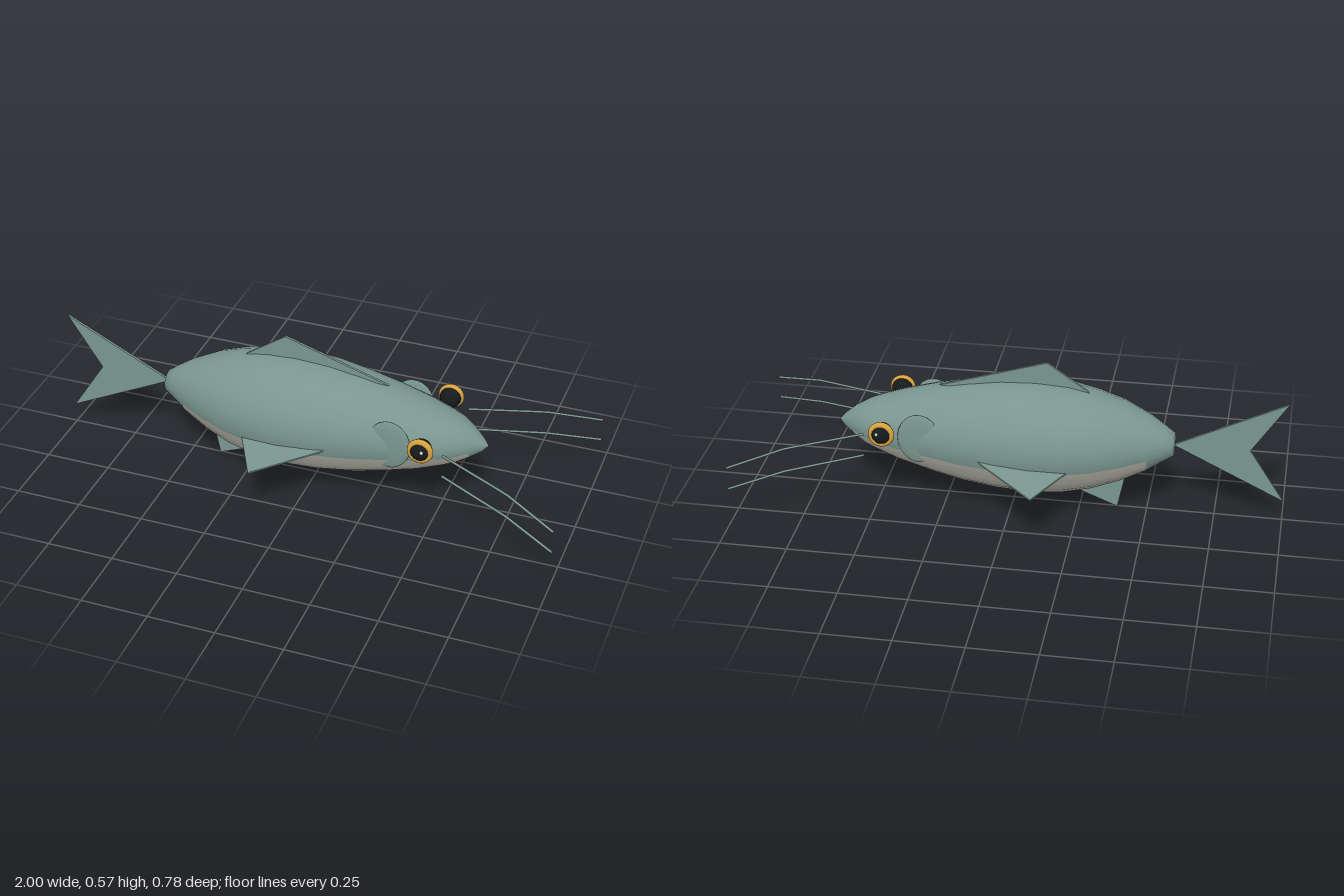
import * as THREE from 'three';

const mat = (color) => new THREE.MeshStandardMaterial({ color, side: THREE.DoubleSide });
const SKIN = mat(0x7a968f), BELLY = mat(0xb4b4a8), GOLD = mat(0xd9a441), BLACK = mat(0x161a1a), WHITE = mat(0xffffff);

// Body stations from tail to nose: x, centre height, half height, half width
const STATIONS = [
  [-0.595, 0.28, 0.042, 0.043], [-0.56, 0.282, 0.065, 0.063], [-0.5, 0.282, 0.103, 0.103],
  [-0.4, 0.283, 0.15, 0.153], [-0.3, 0.28, 0.182, 0.188], [-0.2, 0.28, 0.203, 0.21],
  [-0.08, 0.279, 0.211, 0.221], [0.05, 0.279, 0.205, 0.214], [0.18, 0.277, 0.187, 0.193],
  [0.3, 0.278, 0.163, 0.168], [0.42, 0.279, 0.13, 0.144], [0.51, 0.281, 0.098, 0.116],
  [0.55, 0.281, 0.082, 0.098], [0.6, 0.28, 0.055, 0.06], [0.64, 0.277, 0.025, 0.025], [0.66, 0.277, 0.002, 0.002],
];

// Skin over elliptical sections, from angle a0 to a1 (a full turn closes smoothly)
function loft(stations, a0, a1, segs, grow = 1) {
  const closed = a1 - a0 > 6.28, cols = closed ? segs : segs + 1;
  const pos = [], idx = [];
  stations.forEach(([x, cy, ry, rz]) => {
    for (let j = 0; j < cols; j++) {
      const a = a0 + (a1 - a0) * j / segs;
      pos.push(x, cy + ry * grow * Math.sin(a), rz * grow * Math.cos(a));
    }
  });
  for (let i = 0; i < stations.length - 1; i++) for (let j = 0; j < segs; j++) {
    const a = i * cols + j, b = i * cols + (j + 1) % cols;
    idx.push(a, a + cols, b, b, a + cols, b + cols);
  }
  const g = new THREE.BufferGeometry();
  g.setAttribute('position', new THREE.Float32BufferAttribute(pos, 3));
  g.setIndex(idx);
  g.computeVertexNormals();
  return g;
}

// Thin flat fin in the x-y plane
function fin(points, thickness = 0.01) {
  const shape = new THREE.Shape(points.map(([x, y]) => new THREE.Vector2(x, y)));
  return new THREE.ExtrudeGeometry(shape, { depth: thickness, bevelEnabled: false }).translate(0, 0, -thickness / 2);
}

export function createModel() {
  const model = new THREE.Group();
  const add = (name, geometry, material, x = 0, y = 0, z = 0) => {
    const mesh = new THREE.Mesh(geometry, material);
    mesh.name = name;
    mesh.position.set(x, y, z);
    model.add(mesh);
    return mesh;
  };

  // Body with a closed tail root
  const [x0, y0] = STATIONS[0];
  add('body', loft([[x0 - 0.001, y0, 0, 0], ...STATIONS], 0, Math.PI * 2, 24), SKIN);

  // Pale belly, laid just over the underside
  const step = Math.PI / 12;
  add('belly', loft(STATIONS.slice(2, 14), Math.PI + step, Math.PI * 2 - step, 10, 1.012), BELLY);

  // Fins on the centre line
  add('tailFin', fin([[-0.59, 0.28], [-1, 0.48], [-0.87, 0.28], [-1, 0.08]]), SKIN);
  add('dorsalFin', fin([[-0.3, 0.452], [0.28, 0.452], [-0.12, 0.575]]), SKIN);
  add('analFin', fin([[-0.42, 0.15], [-0.39, 0], [-0.14, 0.1]]), SKIN);

  for (const s of [1, -1]) {
    const side = s > 0 ? 'front' : 'back';

    // Pectoral fin: lies flat, raised towards the head and drooping at the tip
    const pectoral = fin([[-0.23, 0.18], [0.13, 0.18], [-0.12, 0.39]], 0.006);
    const p = pectoral.attributes.position;
    for (let i = 0; i < p.count; i++) {
      const x = p.getX(i), out = p.getY(i);
      p.setXYZ(i, x, 0.247 + 0.06 * x - 0.075 * (out - 0.18) + p.getZ(i), s * out);
    }
    pectoral.computeVertexNormals();
    add(side + 'PectoralFin', pectoral, SKIN);

    // Gill cover: a flattened disc partly sunk into the cheek
    const gill = new THREE.SphereGeometry(1, 24, 16).scale(0.08, 0.098, 0.013);
    add(side + 'GillCover', gill, SKIN, 0.33, 0.299, s * 0.147);

    // Eye with a gold rim and a glint
    add(side + 'Eye', new THREE.SphereGeometry(0.04, 20, 14), BLACK, 0.46, 0.33, s * 0.18);
    add(side + 'EyeRim', new THREE.TorusGeometry(0.037, 0.012, 10, 28), GOLD, 0.46, 0.33, s * 0.191);
    add(side + 'EyeGlint', new THREE.SphereGeometry(0.007, 8, 6), WHITE, 0.472, 0.34, s * 0.215);

    // Two bent whiskers
    for (const [label, ya, yb, yc] of [['Upper', 0.307, 0.284, 0.236], ['Lower', 0.219, 0.191, 0.149]]) {
      const path = new THREE.CurvePath();
      const [a, b, c] = [[0.535, ya, 0.16], [0.805, yb, 0.275], [0.998, yc, 0.365]].map(([x, y, z]) => new THREE.Vector3(x, y, s * z));
      path.add(new THREE.LineCurve3(a, b));
      path.add(new THREE.LineCurve3(b, c));
      add(side + label + 'Whisker', new THREE.TubeGeometry(path, 12, 0.005, 6), SKIN);
    }
  }
  return model;
}
